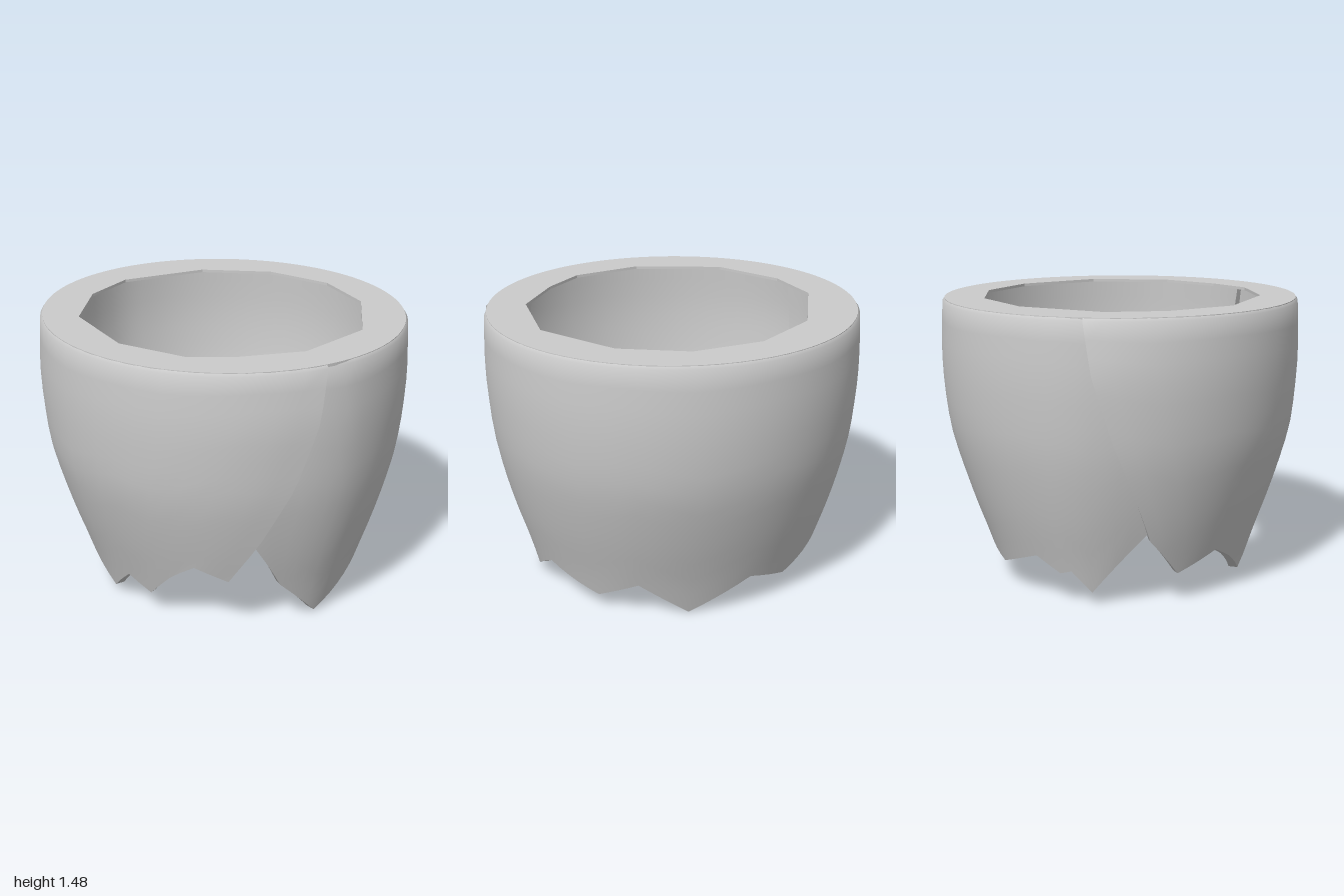
import * as THREE from 'three';
import { toCreasedNormals } from 'three/addons/utils/BufferGeometryUtils.js';

const TOP = 1.48, ROWS = 14, WALL = 0.055;
const rad = THREE.MathUtils.degToRad;

// Piecewise linear lookup in [[key, value], ...] with rising keys
function lookup(table, k) {
  if (k <= table[0][0]) return table[0][1];
  for (let i = 1; i < table.length; i++) {
    const [k0, v0] = table[i - 1], [k1, v1] = table[i];
    if (k <= k1) return v0 + (v1 - v0) * (k - k0) / (k1 - k0);
  }
  return table[table.length - 1][1];
}

// Height -> outer radius, as a smooth curve
const profile = new THREE.CatmullRomCurve3([[0, 0.71], [0.2, 0.77], [0.4, 0.84], [0.6, 0.9],
  [0.8, 0.948], [1, 0.976], [1.2, 0.987], [1.48, 0.977]]
  .map(([y, r]) => new THREE.Vector3(y, r, 0))).getPoints(60).map(p => [p.x, p.y]);

const depthRatio = y => 0.9 + 0.06 * Math.min(1, y / 0.8);

function place(deg, r, y) {
  return [r * Math.sin(rad(deg)), y, r * Math.cos(rad(deg)) * depthRatio(y)];
}

// Thin curved panel: seams are [height, angle] tables, hem is [angle, height]
function shellPanel({ startSeam, endSeam, hem, top, offset }) {
  // Hem corners as fractions of the panel's width, with extra columns between
  const corners = hem.map(([deg, y]) => {
    const a = lookup(startSeam, y), b = lookup(endSeam, y);
    return [(deg - a) / (b - a), y];
  });
  const columns = [];
  for (let i = 0; i < corners.length - 1; i++) {
    const n = Math.max(2, Math.ceil((hem[i + 1][0] - hem[i][0]) / 5));
    for (let k = 0; k < n; k++) {
      columns.push(corners[i][0] + (corners[i + 1][0] - corners[i][0]) * k / n);
    }
  }
  columns.push(1);

  // Each column is a closed loop: up the outside, down the inside
  const loops = columns.map(s => {
    const low = lookup(corners, s), outer = [], inner = [];
    for (let j = 0; j <= ROWS; j++) {
      const y = j === ROWS ? top : low + (top - 0.015 - low) * j / (ROWS - 1);
      const a = lookup(startSeam, y), b = lookup(endSeam, y);
      const deg = a + (b - a) * s;
      const r = lookup(profile, y) + offset(deg, y);
      outer.push(place(deg, j === ROWS ? r - 0.012 : r, y));
      inner.push(place(deg, r - WALL, y));
    }
    return [...outer, ...inner.reverse()];
  });

  const positions = [];
  const quad = (a, b, c, d) => positions.push(...a, ...b, ...c, ...a, ...c, ...d);
  const count = loops[0].length;
  for (let i = 0; i < loops.length - 1; i++) {
    for (let j = 0; j < count; j++) {
      const k = (j + 1) % count;
      quad(loops[i][j], loops[i + 1][j], loops[i + 1][k], loops[i][k]);
    }
  }
  // Seam edges
  const first = loops[0], last = loops[loops.length - 1];
  for (let j = 0; j < ROWS; j++) {
    const m = count - 1 - j;
    quad(first[j], first[j + 1], first[m - 1], first[m]);
    quad(last[m], last[m - 1], last[j + 1], last[j]);
  }
  const geometry = new THREE.BufferGeometry();
  geometry.setAttribute('position', new THREE.Float32BufferAttribute(positions, 3));
  return toCreasedNormals(geometry, 0.8);
}

// Flat lip turned inwards around the uneven twelve-sided opening
function rimLip() {
  const shape = new THREE.Shape();
  shape.absellipse(0, 0, 0.966, 0.966 * depthRatio(TOP), 0, Math.PI * 2);
  const opening = [[0, -0.74], [0.36, -0.65], [0.7, -0.33], [0.76, 0.1], [0.62, 0.4], [0.46, 0.6],
    [0.11, 0.735], [-0.36, 0.66], [-0.64, 0.39], [-0.75, 0.1], [-0.64, -0.36], [-0.36, -0.64]];
  shape.holes.push(new THREE.Path(opening.map(([x, z]) => new THREE.Vector2(x, -z))));
  const geometry = new THREE.ExtrudeGeometry(shape, { depth: 0.015, bevelEnabled: false, curveSegments: 60 });
  return geometry.rotateX(-Math.PI / 2).translate(0, TOP - 0.015, 0);
}

export function createModel() {
  const group = new THREE.Group();
  group.name = 'brokenShell';
  const material = new THREE.MeshStandardMaterial({ color: 0xcccccc });
  const add = (name, geometry) => {
    const mesh = new THREE.Mesh(geometry, material);
    mesh.name = name;
    group.add(mesh);
  };

  // Front panel overlaps the back one and flares out towards its seams
  add('frontPanel', shellPanel({
    startSeam: [[0.36, -65], [0.55, -70], [0.87, -78], [1.2, -84], [1.48, -87]],
    endSeam: [[0.31, 51], [0.55, 61], [0.87, 71], [1.2, 77.5], [1.48, 81]],
    hem: [[-65, 0.36], [-52, 0.155], [-35, 0.245], [-24, 0.17], [-7, 0.03],
      [8, 0.2], [18, 0.13], [39, 0.39], [51, 0.31]],
    top: TOP - 0.002,
    offset: (deg, y) => 0.02 * (deg / 75) ** 2 * Math.min(1, (TOP - y) / 0.25)
      + 0.03 * Math.max(0, 1 - y),
  }));

  // Back panel bulges low at the sides and tucks under the front one
  add('backPanel', shellPanel({
    startSeam: [[0.5, 59], [0.8, 62], [TOP, 52]],
    endSeam: [[0.5, 302], [TOP, 306]],
    hem: [[59, 0.53], [61, 0.5], [72, 0.24], [91, 0.01], [119, 0.2], [142, 0.08],
      [160, 0.19], [180, 0], [205, 0.19], [224, 0.12], [250, 0.24], [260, 0.16],
      [265, 0.18], [273, 0.065], [302, 0.5]],
    top: TOP - 0.002,
    offset: (deg, y) => 0.035 * Math.sin(rad(deg)) ** 2 * Math.max(0, 1 - y)
      - lookup([[90, 0], [110, 0.03]], Math.abs(deg - 180)),
  }));

  add('rimLip', rimLip());
  return group;
}
